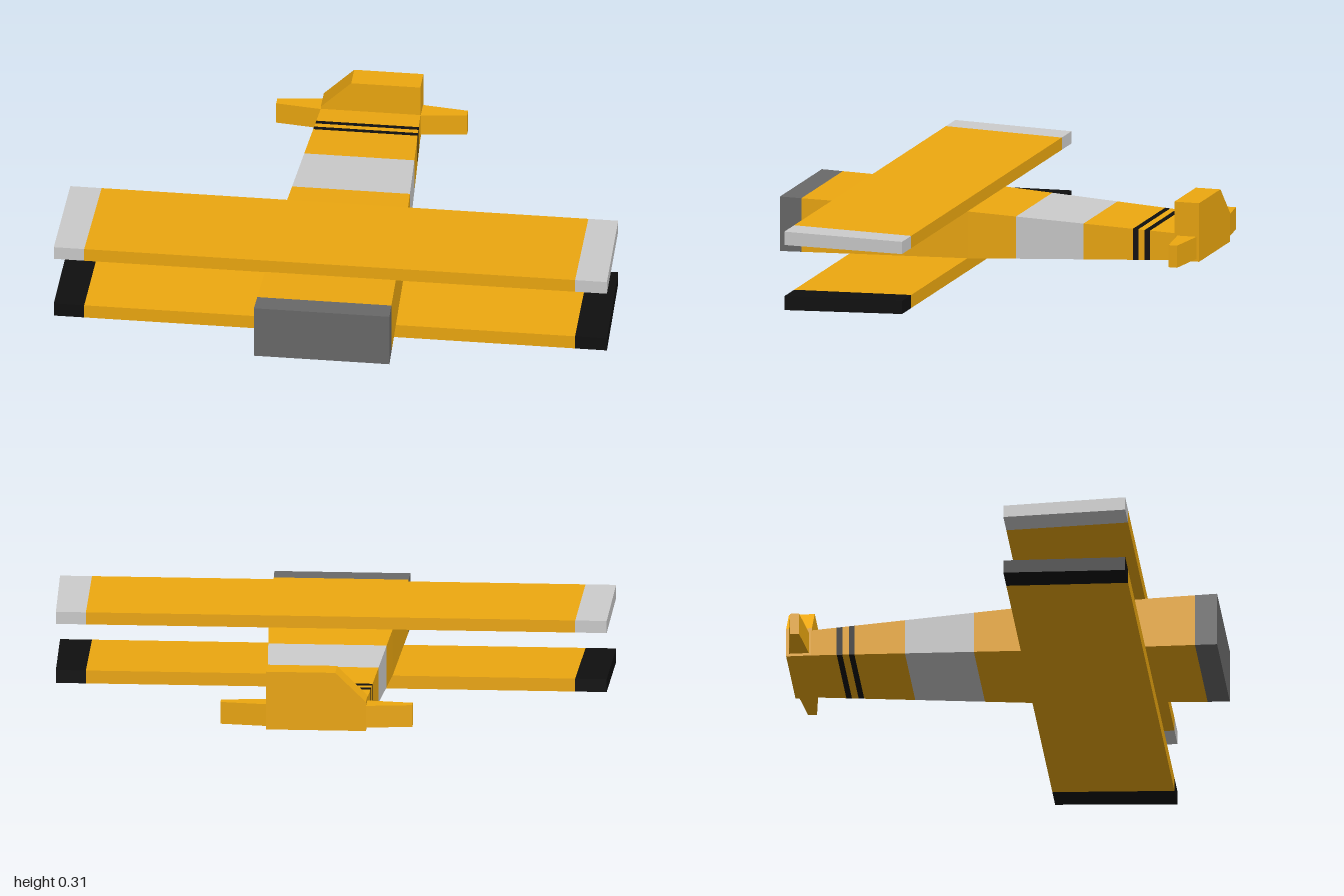
import * as THREE from 'three';

const material = (color) =>
  new THREE.MeshStandardMaterial({ color, flatShading: true });
const orange = material(0xeda810);
const grey = material(0xcccccc);
const dark = material(0x696969);
const black = material(0x0f0f0f);

// Flat-faced skin through four-cornered rings, with optional end caps.
function loft(name, mat, rings, capStart = false, capEnd = false) {
  const pos = [];
  const quad = (a, b, c, d) => pos.push(...a, ...b, ...c, ...a, ...c, ...d);
  for (let r = 0; r < rings.length - 1; r++) {
    const a = rings[r], b = rings[r + 1];
    for (let i = 0; i < 4; i++) {
      const j = (i + 1) % 4;
      quad(a[i], a[j], b[j], b[i]);
    }
  }
  if (capStart) quad(...[...rings[0]].reverse());
  if (capEnd) quad(...rings[rings.length - 1]);
  const geo = new THREE.BufferGeometry();
  geo.setAttribute('position', new THREE.Float32BufferAttribute(pos, 3));
  geo.computeVertexNormals();
  const mesh = new THREE.Mesh(geo, mat);
  mesh.name = name;
  return mesh;
}

// Fuselage stations: z, half width, bottom, top
const stations = [
  [-0.69, 0.18, 0.095, 0.194],
  [0.08, 0.223, 0.06, 0.232],
  [0.78, 0.245, 0.045, 0.245],
];

function fuselageRing(z) {
  const [a, b] = z < 0.08 ? stations : stations.slice(1);
  const t = (z - a[0]) / (b[0] - a[0]);
  const [w, y0, y1] = [1, 2, 3].map((k) => THREE.MathUtils.lerp(a[k], b[k], t));
  return [[-w, y0, z], [w, y0, z], [w, y1, z], [-w, y1, z]];
}

// Painted sections from tail to nose
function createFuselage() {
  const group = new THREE.Group();
  group.name = 'fuselage';
  const bands = [
    ['tailSection', orange, [-0.69, -0.597]],
    ['rearStripe', black, [-0.597, -0.577]],
    ['stripeGap', orange, [-0.577, -0.553]],
    ['frontStripe', black, [-0.553, -0.533]],
    ['rearBody', orange, [-0.533, -0.35]],
    ['greyBand', grey, [-0.35, -0.1]],
    ['mainBody', orange, [-0.1, 0.08, 0.7]],
    ['engineCowl', dark, [0.7, 0.78]],
  ];
  bands.forEach(([name, mat, zs], i) =>
    group.add(loft(name, mat, zs.map(fuselageRing), i === 0, i === bands.length - 1)));
  return group;
}

// Slightly tilted wing slab with painted tips; front and back are [bottom, top]
function createWing(name, tipMat, back, front) {
  const group = new THREE.Group();
  group.name = name;
  const ring = (xBack, xFront) => [
    [xBack, back[0], 0.08], [xBack, back[1], 0.08],
    [xFront, front[1], 0.52], [xFront, front[0], 0.52],
  ];
  const ends = [ring(-0.993, -1), ring(-0.88, -0.89), ring(0.88, 0.885), ring(0.988, 1)];
  group.add(
    loft('rightTip', tipMat, ends.slice(0, 2), true, false),
    loft('wingPanel', orange, ends.slice(1, 3)),
    loft('leftTip', tipMat, ends.slice(2, 4), false, true),
  );
  return group;
}

// Upright tail block with one chamfered shoulder, and a tapered plane each side
function createTail() {
  const group = new THREE.Group();
  group.name = 'tail';
  const outline = [[-0.18, 0.095], [0.18, 0.095], [0.18, 0.31], [-0.07, 0.31], [-0.18, 0.203]];
  const shape = new THREE.Shape(outline.map(([x, y]) => new THREE.Vector2(x, y)));
  const fin = new THREE.Mesh(
    new THREE.ExtrudeGeometry(shape, { depth: 0.093, bevelEnabled: false }), orange);
  fin.position.z = -0.78;
  fin.name = 'tailFin';
  group.add(fin);

  const ring = (x, z0, z1) => [[x, 0.105, z0], [x, 0.186, z0], [x, 0.186, z1], [x, 0.105, z1]];
  const root = [-0.77, -0.698], tip = [-0.75, -0.718];
  group.add(
    loft('leftTailplane', orange, [ring(0.18, ...root), ring(0.345, ...tip)], false, true),
    loft('rightTailplane', orange, [ring(-0.345, ...tip), ring(-0.18, ...root)], true, false),
  );
  return group;
}

export function createModel() {
  const model = new THREE.Group();
  model.name = 'biplane';
  model.add(
    createFuselage(),
    createWing('upperWing', grey, [0.232, 0.277], [0.239, 0.288]),
    createWing('lowerWing', black, [0.012, 0.06], [0, 0.051]),
    createTail(),
  );
  return model;
}
